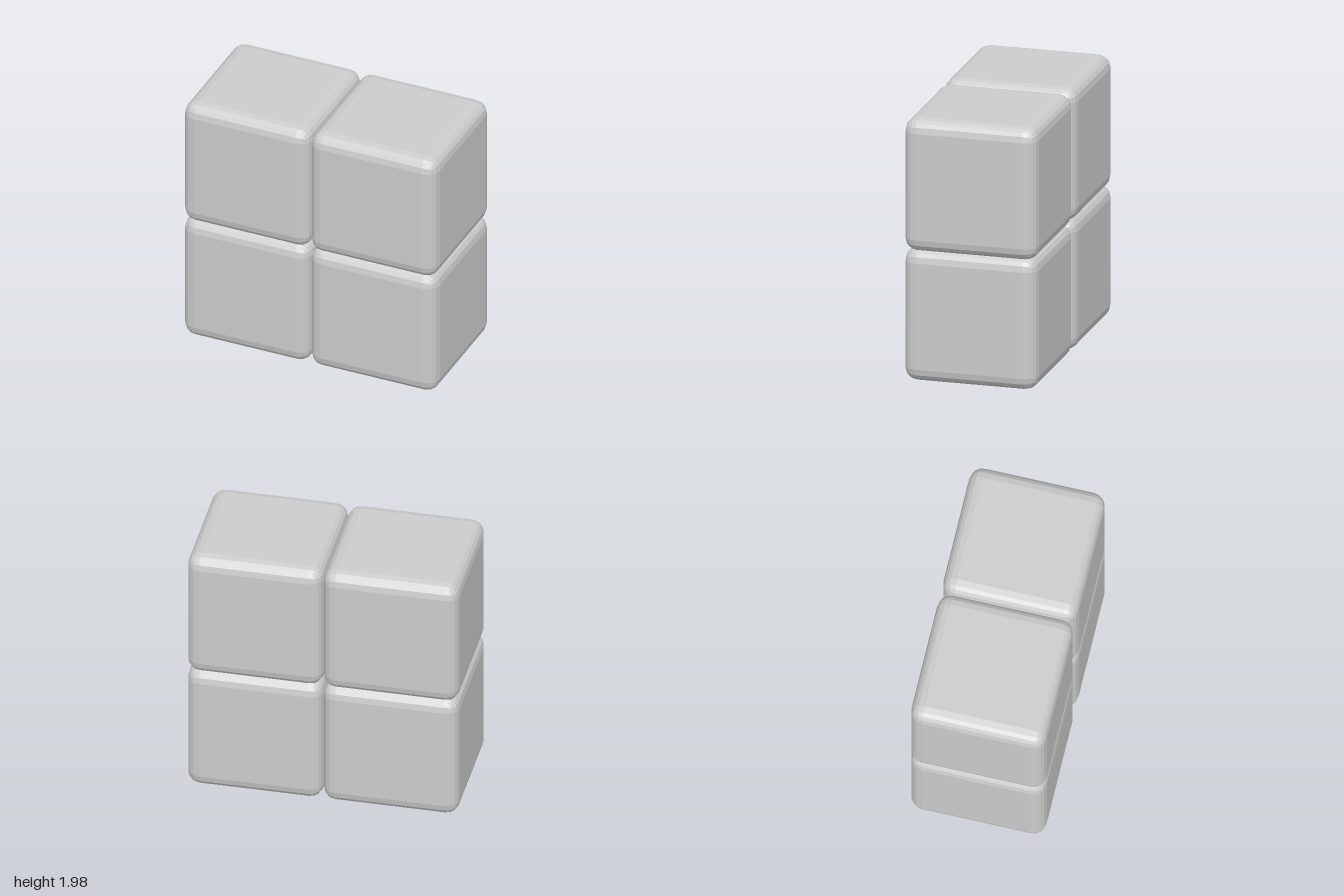
import * as THREE from 'three';
import { RoundedBoxGeometry } from 'three/addons/geometries/RoundedBoxGeometry.js';

// Four bevelled cubes in a two by two wall; rows overlap slightly.
const SIZE = 1;
const BEVEL = 0.1;
const ROW_PITCH = 0.975;

export function createModel() {
  const model = new THREE.Group();
  model.name = 'blockWall';

  const material = new THREE.MeshStandardMaterial({ color: 0xcccccc, flatShading: true });
  const geometry = new RoundedBoxGeometry(SIZE, SIZE, SIZE, 2, BEVEL);

  ['lower', 'upper'].forEach((rowName, row) => {
    for (const side of [-1, 1]) {
      const block = new THREE.Mesh(geometry, material);
      block.name = rowName + (side > 0 ? 'Left' : 'Right') + 'Block';
      block.position.set(side * SIZE / 2, SIZE / 2 + row * ROW_PITCH, 0);
      model.add(block);
    }
  });

  return model;
}
